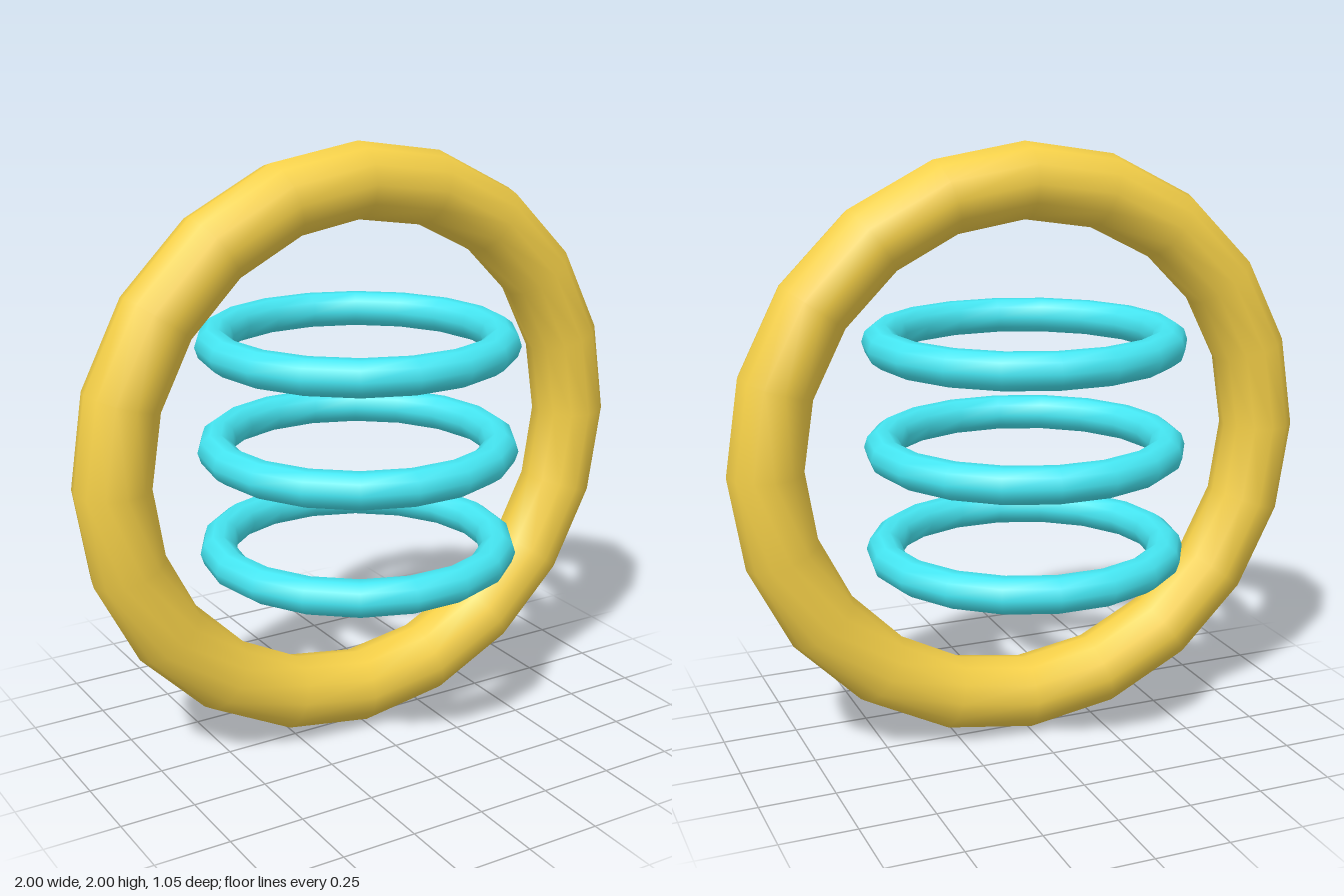
import * as THREE from 'three';

const GOLD = 0xf5d048;
const CYAN = 0x45e6f2;

// Smooth-shaded torus with a modest number of sides
function ring(name, radius, tube, sides, segments, color) {
  const mesh = new THREE.Mesh(
    new THREE.TorusGeometry(radius, tube, sides, segments),
    new THREE.MeshStandardMaterial({ color })
  );
  mesh.name = name;
  return mesh;
}

export function createModel() {
  const model = new THREE.Group();
  model.name = 'ringOrnament';

  // Large upright ring
  const outer = ring('outerRing', 0.875, 0.124, 12, 20, GOLD);
  outer.position.y = 1;
  model.add(outer);

  // Stack of three small horizontal rings floating inside
  const stack = new THREE.Group();
  stack.name = 'innerRings';
  ['lowerRing', 'middleRing', 'upperRing'].forEach((name, i) => {
    const inner = ring(name, 0.472, 0.06, 10, 18, CYAN);
    inner.rotation.x = -Math.PI / 2;
    inner.position.y = 1.003 + (i - 1) * 0.354;
    stack.add(inner);
  });
  model.add(stack);

  return model;
}
